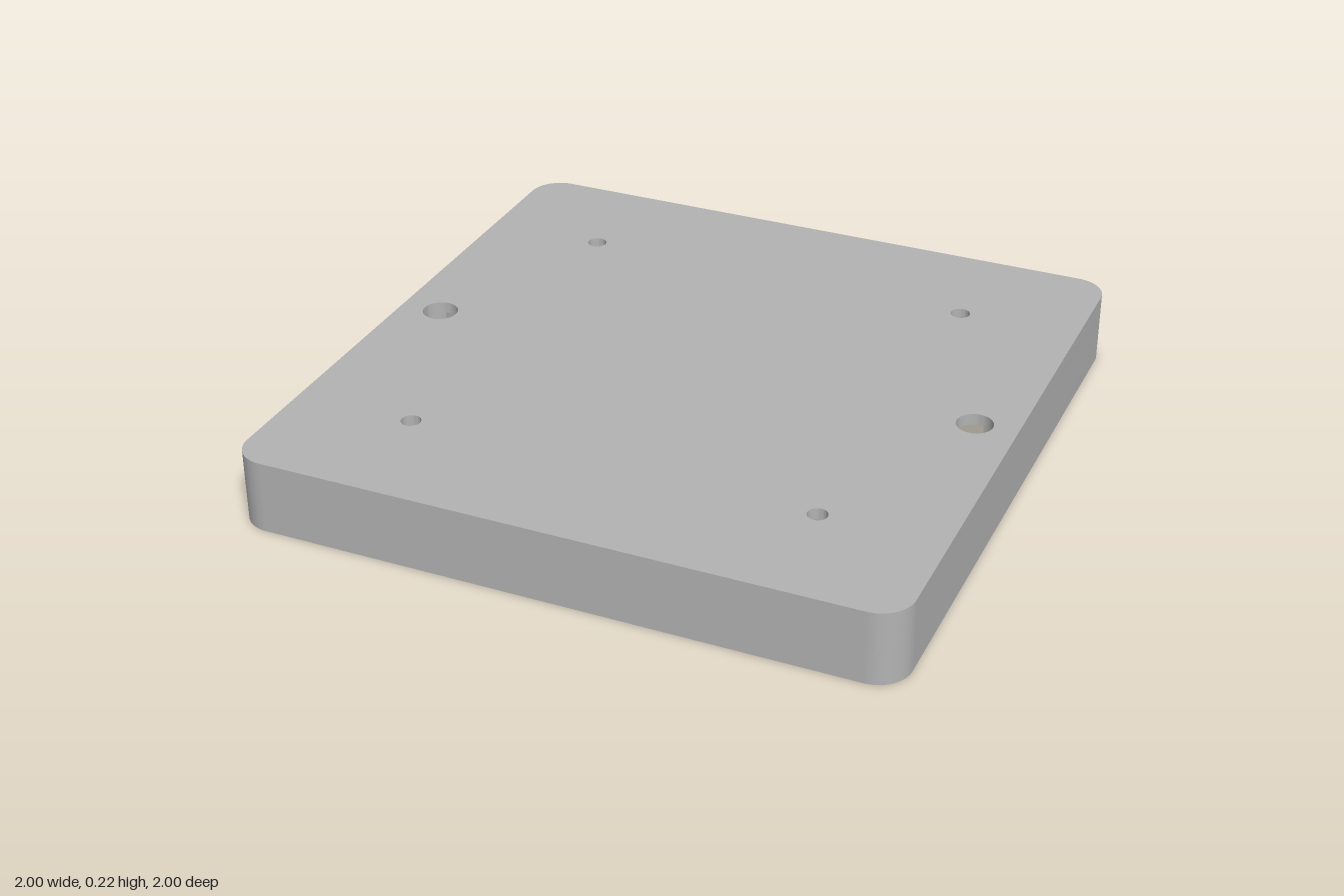
import * as THREE from 'three';
import { toCreasedNormals } from 'three/addons/utils/BufferGeometryUtils.js';

const HEIGHT = 0.225;
const CEILING = 0.19;   // underside of the top plate
const FLOOR = 0.048;    // bottom of the side bores
const LEDGE = 0.036;    // depth of the stepped rim
const CAVITY = 0.882;   // half width of the inner cavity
const BORE = { x: 0.87, r: 0.055 };

// Counter-clockwise rounded square; bores optionally notch its left and right sides
function roundedSquare(path, half, r, notched = false) {
  const c = half - r;
  const a = Math.acos((half - BORE.x) / BORE.r);
  const z = BORE.r * Math.sin(a);
  path.moveTo(half, -c);
  if (notched) {
    path.lineTo(half, -z);
    path.absarc(BORE.x, 0, BORE.r, -a, a, false);
  }
  path.lineTo(half, c);
  path.absarc(c, c, r, 0, Math.PI / 2, false);
  path.lineTo(-c, half);
  path.absarc(-c, c, r, Math.PI / 2, Math.PI, false);
  if (notched) {
    path.lineTo(-half, z);
    path.absarc(-BORE.x, 0, BORE.r, Math.PI - a, Math.PI + a, false);
  }
  path.lineTo(-half, -c);
  path.absarc(-c, -c, r, Math.PI, Math.PI * 1.5, false);
  path.lineTo(c, -half);
  path.absarc(c, -c, r, Math.PI * 1.5, Math.PI * 2, false);
  return path;
}

function circle(x, y, r) {
  return new THREE.Path().absarc(x, y, r, 0, Math.PI * 2, false);
}

export function createModel() {
  const group = new THREE.Group();
  group.name = 'coverPlate';
  const grey = new THREE.MeshStandardMaterial({ color: 0xb3b3b3 });
  grey.name = 'grey';

  // One horizontal layer of the cover, from y0 up to y1
  function layer(name, y0, y1, holes) {
    const shape = roundedSquare(new THREE.Shape(), 1, 0.1);
    shape.holes.push(...holes);
    const extruded = new THREE.ExtrudeGeometry(shape, {
      depth: y1 - y0, bevelEnabled: false, curveSegments: 20,
    });
    extruded.rotateX(-Math.PI / 2);
    extruded.translate(0, y0, 0);
    const mesh = new THREE.Mesh(toCreasedNormals(extruded, 0.6), grey);
    mesh.name = name;
    group.add(mesh);
  }

  // Top plate with four screw holes and two larger bores
  const plateHoles = [];
  for (const sx of [-1, 1]) {
    plateHoles.push(circle(sx * BORE.x, 0, BORE.r));
    for (const sz of [-1, 1]) plateHoles.push(circle(sx * 0.625, sz * 0.625, 0.03));
  }
  layer('topPlate', CEILING, HEIGHT, plateHoles);

  // Walls, with the bores cut into the left and right sides
  layer('wall', FLOOR, CEILING, [roundedSquare(new THREE.Path(), CAVITY, 0.03, true)]);

  // Thin ledge that closes the bores
  layer('ledge', LEDGE, FLOOR, [roundedSquare(new THREE.Path(), CAVITY, 0.03)]);

  // Wider opening at the bottom
  layer('bottomRim', 0, LEDGE, [roundedSquare(new THREE.Path(), 0.932, 0.06)]);

  return group;
}
